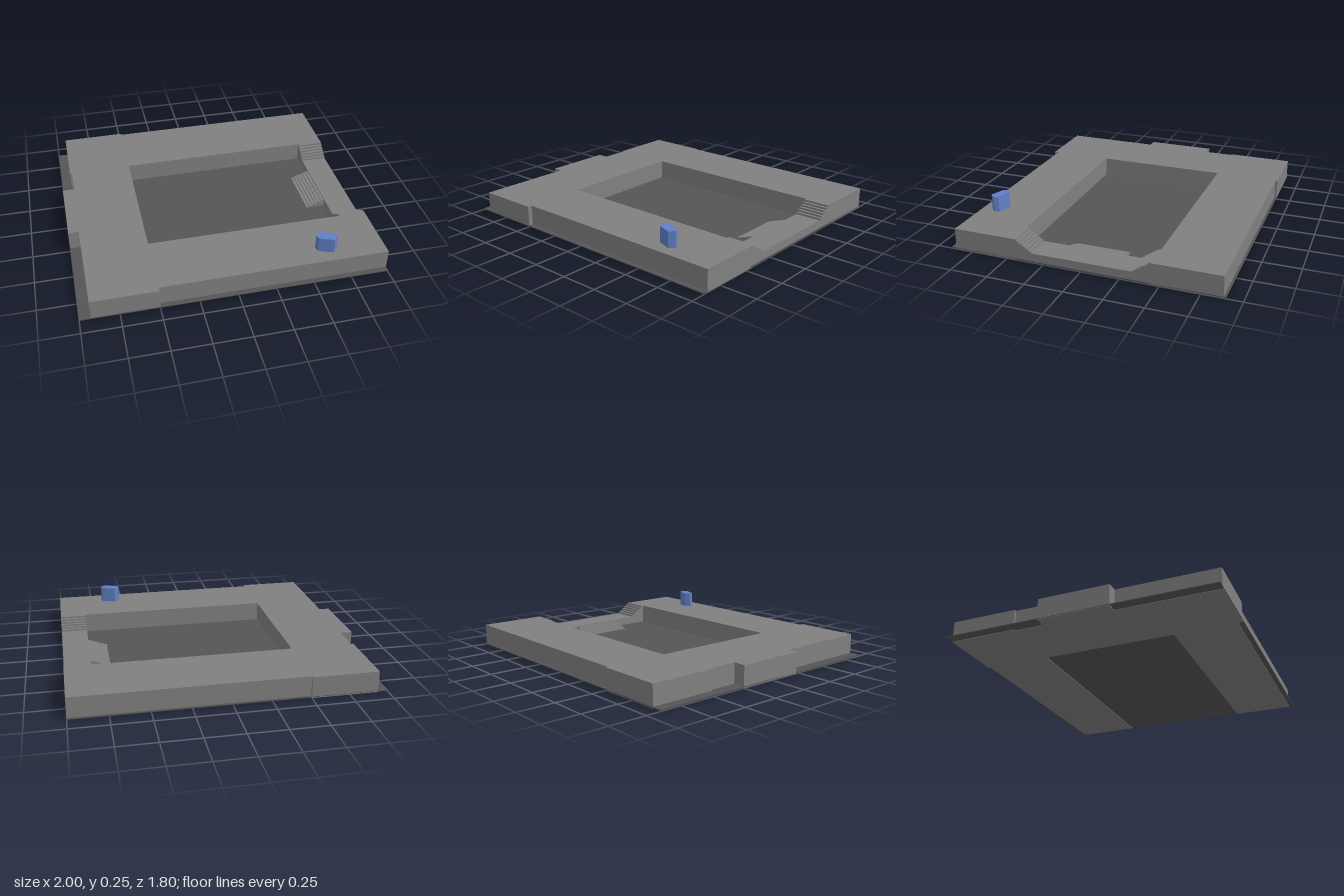
import * as THREE from 'three';

const stone = new THREE.MeshStandardMaterial({ color: 0x808080 });
stone.name = 'light grey stone';
const floorMat = new THREE.MeshStandardMaterial({ color: 0x555555 });
floorMat.name = 'dark grey floor';
const blue = new THREE.MeshStandardMaterial({ color: 0x6080c4 });
blue.name = 'blue';

const TOP = 0.143, LEDGE = 0.065, FLOOR = 0.01;

function add(group, name, geometry, material) {
  const mesh = new THREE.Mesh(geometry, material);
  mesh.name = name;
  group.add(mesh);
  return mesh;
}

const outline = (pts) => new THREE.Shape(pts.map(([a, b]) => new THREE.Vector2(a, b)));

// Upright prism from a plan outline given as [x, z] points
function prism(plan, y0, y1) {
  const shape = outline(plan.map(([x, z]) => [x, -z]));
  const geo = new THREE.ExtrudeGeometry(shape, { depth: y1 - y0, bevelEnabled: false });
  return geo.rotateX(-Math.PI / 2).translate(0, y0, 0);
}

export function createModel() {
  const model = new THREE.Group();
  model.name = 'sunkenCourt';

  // Thin base sheet that also forms the floor of the court
  const base = new THREE.BoxGeometry(2, 0.006, 1.8).translate(0, FLOOR - 0.003, 0);
  add(model, 'baseFloor', base, floorMat);

  // Raised terrace around three sides, open towards +x
  add(model, 'terrace', prism([
    [1, 0.865], [1, 0.45], [-0.5, 0.45], [-0.5, -0.45], [1, -0.45], [1, -0.885],
    [-0.5, -0.885], [-0.5, -0.9], [-0.935, -0.9], [-0.935, -0.45], [-0.92, -0.45],
    [-0.92, -0.25], [-1, -0.25], [-1, 0.23], [-0.93, 0.23], [-0.93, 0.895],
    [-0.5, 0.895], [-0.5, 0.865],
  ], 0, TOP), stone);

  // Entrance ledge with a flight of steps climbing to the terrace at each end
  const steps = 6, run = 0.115 / steps, rise = (TOP - LEDGE) / steps;
  const flight = [];
  for (let i = 0; i < steps; i++) {
    const z = 0.335 + i * run;
    flight.push([z, LEDGE + i * rise], [z, LEDGE + (i + 1) * rise]);
  }
  flight.push([0.45, TOP]);
  const profile = [
    [0.45, FLOOR], ...flight.slice().reverse(),
    ...flight.map(([z, y]) => [-z, y]), [-0.45, FLOOR],
  ];
  // Profile is drawn in (z, y), then turned so that it runs along x
  const ledge = new THREE.ExtrudeGeometry(outline(profile.map(([z, y]) => [-z, y])),
    { depth: 0.18, bevelEnabled: false });
  ledge.rotateY(Math.PI / 2).translate(0.82, 0, 0);
  add(model, 'entranceLedgeAndSteps', ledge, stone);

  // Inner stair from the ledge down to the court floor
  const treads = 6, depth = 0.13 / treads, height = (LEDGE - FLOOR) / (treads + 1);
  const stair = [[0.82, FLOOR], [0.69, FLOOR]];
  for (let i = 0; i < treads; i++) {
    const y = FLOOR + (i + 1) * height;
    stair.push([0.69 + i * depth, y], [0.69 + (i + 1) * depth, y]);
  }
  const stairGeo = new THREE.ExtrudeGeometry(outline(stair), { depth: 0.365, bevelEnabled: false });
  add(model, 'courtStair', stairGeo.translate(0, 0, -0.205), stone);

  // Small six-sided block standing on the terrace
  add(model, 'blueBlock', prism([
    [0.547, 0.728], [0.58, 0.7], [0.67, 0.732], [0.681, 0.763], [0.65, 0.795], [0.557, 0.76],
  ], TOP, 0.248), blue);

  return model;
}
